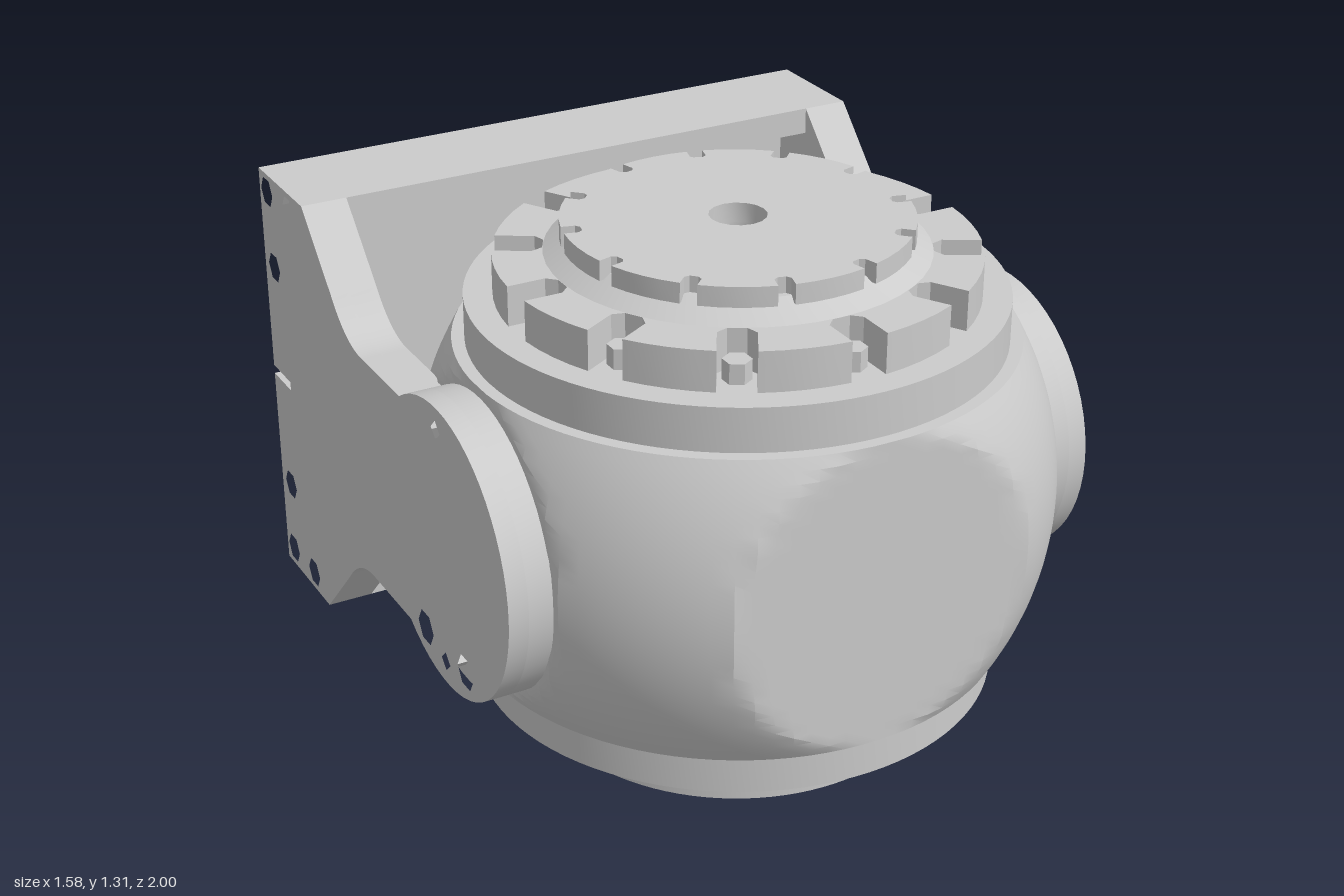
import * as THREE from 'three';
import { toCreasedNormals } from 'three/addons/utils/BufferGeometryUtils.js';

const grey = new THREE.MeshStandardMaterial({ color: 0xcccccc });
const CY = 0.625; // height of the tilt axis
const CZ = 0.32;  // z of the vertical axis

export function createModel() {
  const model = new THREE.Group();

  const add = (name, geo, x = 0, y = 0, z = 0, crease = 0.4) => {
    const mesh = new THREE.Mesh(toCreasedNormals(geo, crease), grey);
    mesh.name = name;
    mesh.position.set(x, y, z);
    model.add(mesh);
    return mesh;
  };
  const lathe = (pts, segs) =>
    new THREE.LatheGeometry(pts.map(p => new THREE.Vector2(p[0], p[1])), segs);
  const extrude = (shape, depth) =>
    new THREE.ExtrudeGeometry(shape, { depth, bevelEnabled: false, curveSegments: 20 });
  const hole = (x, y, r, sides = 6) => {
    const pts = [];
    for (let i = 0; i < sides; i++) {
      const a = -i / sides * Math.PI * 2;
      pts.push(new THREE.Vector2(x + r * Math.cos(a), y + r * Math.sin(a)));
    }
    return new THREE.Path(pts);
  };

  // Ball housing: sphere between two collars, flattened on four sides, bored through
  const R = 0.785, FLAT = 0.68;
  const profile = [[0.17, 0], [0.495, 0], [0.495, 0.13], [0.65, 0.13], [0.65, 0.24]];
  for (let i = 0; i <= 30; i++) {
    const dy = -0.39 + 0.78 * i / 30;
    profile.push([Math.sqrt(R * R - dy * dy), 0.63 + dy]);
  }
  profile.push([0.65, 1.02], [0.65, 1.13], [0.07, 1.13], [0.07, 0.4], [0.17, 0.4], [0.17, 0]);
  const ball = lathe(profile, 96);
  const pos = ball.attributes.position;
  for (let i = 0; i < pos.count; i++) {
    pos.setX(i, THREE.MathUtils.clamp(pos.getX(i), -FLAT, FLAT));
    pos.setZ(i, THREE.MathUtils.clamp(pos.getZ(i), -FLAT, FLAT));
  }
  add('ballHousing', ball, 0, 0, CZ);

  // Disc with twelve notches round its edge and a centre bore
  const notchedDisc = (radius, inner, half, offset, depth) => {
    const shape = new THREE.Shape();
    const edge = Math.asin(half / radius), step = Math.PI / 6;
    for (let k = 0; k < 12; k++) {
      const a = k * step + offset;
      const at = (r, t) => [r * Math.cos(a) - t * Math.sin(a), r * Math.sin(a) + t * Math.cos(a)];
      if (k) shape.lineTo(...at(radius * Math.cos(edge), -half));
      else shape.moveTo(...at(radius * Math.cos(edge), -half));
      shape.lineTo(...at(inner + half * 0.5, -half));
      shape.lineTo(...at(inner, -half * 0.5));
      shape.lineTo(...at(inner, half * 0.5));
      shape.lineTo(...at(inner + half * 0.5, half));
      for (let j = 0; j < 4; j++) {
        const b = a + edge + (step - 2 * edge) * j / 4;
        shape.lineTo(radius * Math.cos(b), radius * Math.sin(b));
      }
    }
    shape.holes.push(hole(0, 0, 0.07, 16));
    return extrude(shape, depth).rotateX(-Math.PI / 2);
  };
  add('boltRing', notchedDisc(0.58, 0.46, 0.045, 0, 0.1), 0, 1.13, CZ);
  add('topShoulder', lathe([[0.07, 1.23], [0.46, 1.23], [0.39, 1.27], [0.07, 1.27], [0.07, 1.23]], 48), 0, 0, CZ);
  add('topDisc', notchedDisc(0.42, 0.375, 0.02, Math.PI / 12, 0.05), 0, 1.26, CZ);
  for (let k = 0; k < 12; k++) {
    const a = k * Math.PI / 6;
    add('ringBolt', new THREE.CylinderGeometry(0.034, 0.034, 0.05, 6),
      0.51 * Math.cos(a), 1.155, CZ + 0.51 * Math.sin(a));
  }

  // Fork arm outline, drawn with -z to the right and y up from the tilt axis
  const armShape = () => {
    const s = new THREE.Shape();
    const meet = Math.atan2(0.305, 0.21);
    s.moveTo(-0.11, -0.305);
    s.absarc(-CZ, 0, 0.37, -meet, meet, true);
    s.lineTo(0.12, 0.305);
    s.quadraticCurveTo(0.22, 0.305, 0.3, 0.4);
    s.lineTo(0.47, 0.575);
    s.lineTo(0.77, 0.575);
    s.lineTo(0.77, 0.012);
    s.lineTo(0.65, 0.012);
    s.lineTo(0.65, -0.012);
    s.lineTo(0.77, -0.012);
    s.lineTo(0.77, -0.575);
    s.lineTo(0.47, -0.575);
    s.lineTo(0.3, -0.4);
    s.quadraticCurveTo(0.22, -0.305, 0.12, -0.305);
    return s;
  };
  // Outer skin carries the bolt pockets, inner skin closes them
  const skin = armShape();
  for (let k = 0; k < 8; k++) {
    const a = (k + 0.5) * Math.PI / 4;
    skin.holes.push(hole(-CZ + 0.3 * Math.cos(a), 0.3 * Math.sin(a), 0.045));
  }
  for (const s of [-1, 1]) {
    skin.holes.push(hole(-CZ, s * 0.31, 0.025, 4));
    for (const [u, v] of [[0.57, 0.525], [0.72, 0.525], [0.705, 0.32]])
      skin.holes.push(hole(u, s * v, 0.04));
  }
  const outer = extrude(skin, 0.05).rotateY(Math.PI / 2);
  const inner = extrude(armShape(), 0.07).rotateY(Math.PI / 2);
  add('leftArmOuter', outer, 0.74, CY, 0);
  add('leftArmInner', inner, 0.67, CY, 0);
  add('rightArmOuter', outer, -0.79, CY, 0);
  add('rightArmInner', inner, -0.74, CY, 0);

  // Cross frame joining the arms: two beams and a recessed panel
  for (const s of [-1, 1])
    add(s > 0 ? 'topBeam' : 'bottomBeam', new THREE.BoxGeometry(1.34, 0.07, 0.3), 0, CY + s * 0.54, -0.62);
  add('backPanel', new THREE.BoxGeometry(1.34, 1.01, 0.13), 0, CY, -0.665);
  const face = new THREE.Shape([[-0.67, -0.505], [0.67, -0.505], [0.67, 0.505], [-0.67, 0.505]]
    .map(p => new THREE.Vector2(...p)));
  for (const x of [-0.59, 0.59])
    for (const y of [-0.44, -0.3, 0.3, 0.44]) face.holes.push(hole(x, y, 0.03));
  add('backPanelFace', extrude(face, 0.04), 0, CY, -0.77);

  // Round mounting flange on the back, with recess, boss and hub
  const flange = lathe([
    [0.51, 0], [0.51, 0.11], [0.43, 0.11], [0.43, 0.07], [0.25, 0.07], [0.23, 0.1], [0.18, 0.1],
    [0.18, 0.01], [0.13, 0.01], [0.13, 0.06], [0, 0.06],
  ], 48).rotateX(-Math.PI / 2);
  add('backFlange', flange, 0, CY, -0.77);
  const rim = new THREE.Shape().absarc(0, 0, 0.51, 0, Math.PI * 2);
  rim.holes.push(hole(0, 0, 0.43, 48));
  for (let k = 0; k < 8; k++) {
    const a = (k + 0.5) * Math.PI / 4;
    rim.holes.push(hole(0.47 * Math.cos(a), 0.47 * Math.sin(a), 0.018));
  }
  add('flangeRim', extrude(rim, 0.04), 0, CY, -0.92);
  add('locatingPin', new THREE.CylinderGeometry(0.018, 0.028, 0.12, 8).rotateX(-Math.PI / 2), 0.44, CY, -0.94);

  return model;
}
